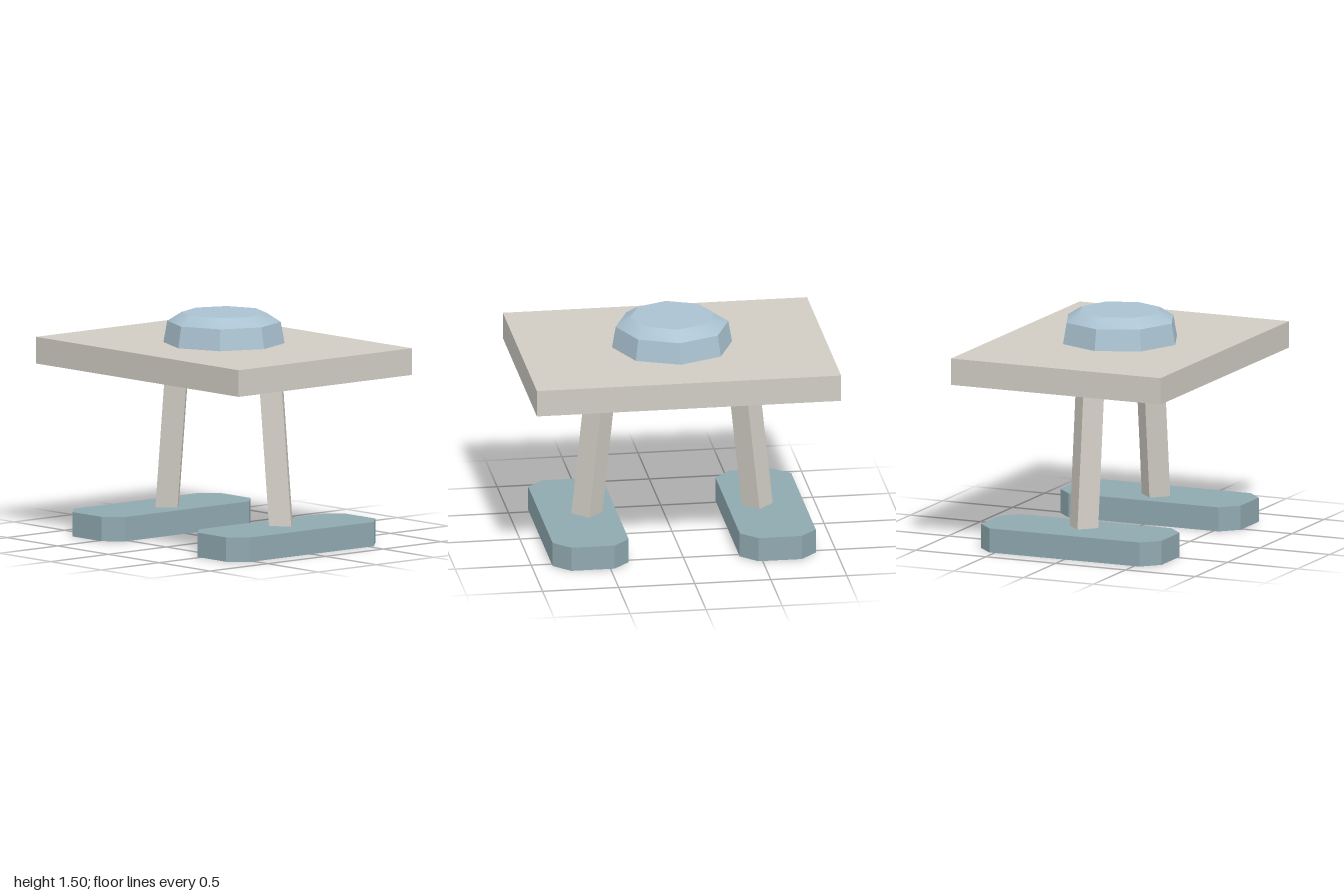
import * as THREE from 'three';
import { toCreasedNormals } from 'three/addons/utils/BufferGeometryUtils.js';

const material = (name, color) => {
  const m = new THREE.MeshStandardMaterial({ color });
  m.name = name;
  return m;
};

export function createModel() {
  const stone = material('warm grey', 0xd0ccc4);
  const teal = material('dull teal', 0x8fa9b0);
  const blue = material('pale blue', 0xaac2d1);
  const model = new THREE.Group();

  const add = (name, geometry, mat) => {
    const mesh = new THREE.Mesh(toCreasedNormals(geometry, Math.PI / 6), mat);
    mesh.name = name;
    model.add(mesh);
  };

  // Flat rectangular deck
  add('deck', new THREE.BoxGeometry(2, 0.175, 1.5).translate(0, 1.2075, 0), stone);

  // Eight-sided dome with a soft bevel and flat top
  const profile = [[0, 1.29], [0.395, 1.295], [0.37, 1.435], [0.275, 1.495], [0, 1.495]];
  add('dome', new THREE.LatheGeometry(profile.map(([r, y]) => new THREE.Vector2(r, y)), 8), blue);

  // Foot outline: long rectangle with cut corners
  const w = 0.25, d = 0.645, c = 0.108;
  const outline = new THREE.Shape([
    [w, -d + c], [w, d - c], [w - c, d], [-w + c, d],
    [-w, d - c], [-w, -d + c], [-w + c, -d], [w - c, -d],
  ].map(([x, z]) => new THREE.Vector2(x, z)));

  for (const [side, s] of [['left', 1], ['right', -1]]) {
    const foot = new THREE.ExtrudeGeometry(outline, { depth: 0.16, bevelEnabled: false });
    add(`${side}Foot`, foot.rotateX(-Math.PI / 2).translate(s * 0.615, 0, 0), teal);

    // Diamond-section leg, sheared inwards towards the deck
    const leg = new THREE.CylinderGeometry(0.102, 0.102, 0.96, 4);
    const shear = new THREE.Matrix4().makeShear(0, 0, -s * 0.104, 0, 0, 0);
    const pos = leg.attributes.position;
    for (let i = 0; i < pos.count; i++) pos.setX(i, pos.getX(i) + shear.elements[4] * pos.getY(i));
    add(`${side}Leg`, leg.translate(s * 0.51, 0.64, 0), stone);
  }
  return model;
}
